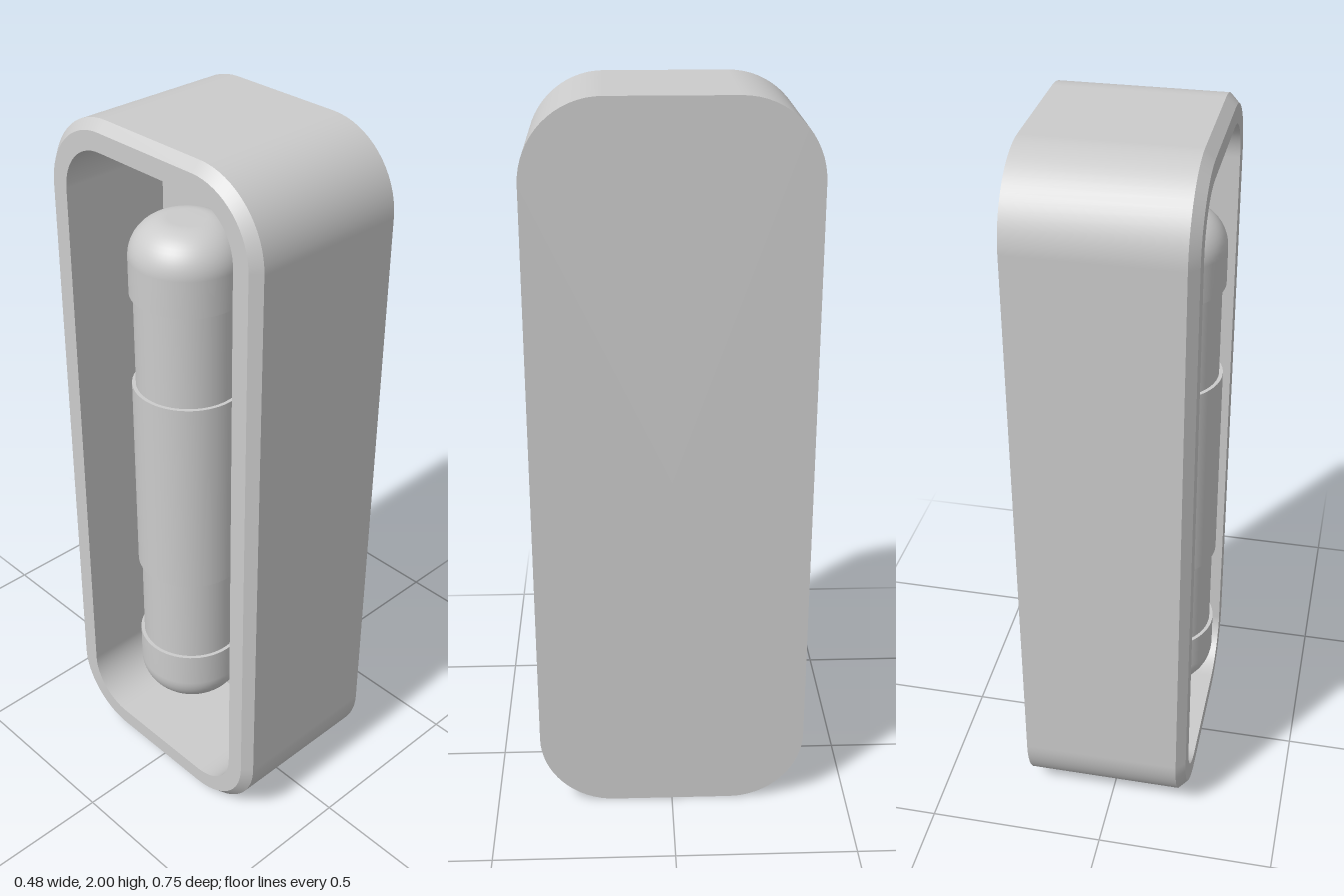
import * as THREE from 'three';

const material = new THREE.MeshStandardMaterial({ color: 0xcccccc });

// Rounded rectangle in the z-y plane, inset from the outer outline
function ring(x, inset, segments = 16) {
  const halfZ = 0.375, halfY = 1, radius = 0.21, points = [];
  for (let corner = 0; corner < 4; corner++) {
    const signZ = corner === 0 || corner === 3 ? 1 : -1;
    const signY = corner < 2 ? 1 : -1;
    for (let i = 0; i <= segments; i++) {
      const a = (corner + i / segments) * Math.PI / 2;
      points.push([
        x,
        1 + signY * (halfY - radius) + (radius - inset) * Math.sin(a),
        signZ * (halfZ - radius) + (radius - inset) * Math.cos(a),
      ]);
    }
  }
  return points;
}

// Ring collapsed to its centre, to close a flat face
const centre = (x) => ring(x, 0).map(() => [x, 1, 0]);

// Strip between two rings, smooth around the outline and sharp at its ends
function strip(a, b, name) {
  const n = a.length, index = [];
  for (let i = 0; i < n; i++) {
    const j = (i + 1) % n;
    index.push(i, j, n + i, j, n + j, n + i);
  }
  const geometry = new THREE.BufferGeometry();
  geometry.setAttribute('position', new THREE.Float32BufferAttribute([...a, ...b].flat(), 3));
  geometry.setIndex(index);
  geometry.computeVertexNormals();
  return named(geometry, name);
}

function named(geometry, name) {
  const mesh = new THREE.Mesh(geometry, material);
  mesh.name = name;
  return mesh;
}

export function createModel() {
  const model = new THREE.Group();
  model.name = 'capsuleHousing';

  // Housing: closed on +x, open on -x, with a chamfered rim
  const housing = new THREE.Group();
  housing.name = 'housing';
  const wall = 0.075, floorX = 0.095, rimX = -0.225;
  const sections = [
    [centre(0.24), ring(0.24, 0), 'closedFace'],
    [ring(0.24, 0), ring(-0.2, 0), 'outerWall'],
    [ring(-0.2, 0), ring(rimX, 0.025), 'chamfer'],
    [ring(rimX, 0.025), ring(rimX, wall), 'rim'],
    [ring(rimX, wall), ring(floorX, wall), 'innerWall'],
    [ring(floorX, wall), centre(floorX), 'cavityFloor'],
  ];
  for (const [a, b, name] of sections) housing.add(strip(a, b, name));
  model.add(housing);

  // Upright capsule inside the cavity
  const capsule = new THREE.Group();
  capsule.name = 'capsule';
  capsule.position.set(-0.09, 1.015, 0);
  capsule.add(named(new THREE.CylinderGeometry(0.14, 0.14, 1.12, 64), 'core'));
  capsule.add(named(new THREE.CylinderGeometry(0.15, 0.15, 0.58, 64), 'middleSleeve'));

  // Rounded end caps; the repeated point keeps the lower edge sharp
  const profile = [[0, 0.555], [0.15, 0.555], [0.15, 0.555]];
  for (let i = 0; i <= 12; i++) {
    const a = i / 12 * Math.PI / 2;
    profile.push([0.05 + 0.1 * Math.cos(a), 0.655 + 0.1 * Math.sin(a)]);
  }
  profile.push([0, 0.755]);
  const capGeometry = new THREE.LatheGeometry(profile.map(([r, y]) => new THREE.Vector2(r, y)), 64);
  const topCap = named(capGeometry, 'topCap');
  const bottomCap = named(capGeometry, 'bottomCap');
  bottomCap.rotation.x = Math.PI;
  capsule.add(topCap, bottomCap);
  model.add(capsule);

  return model;
}
